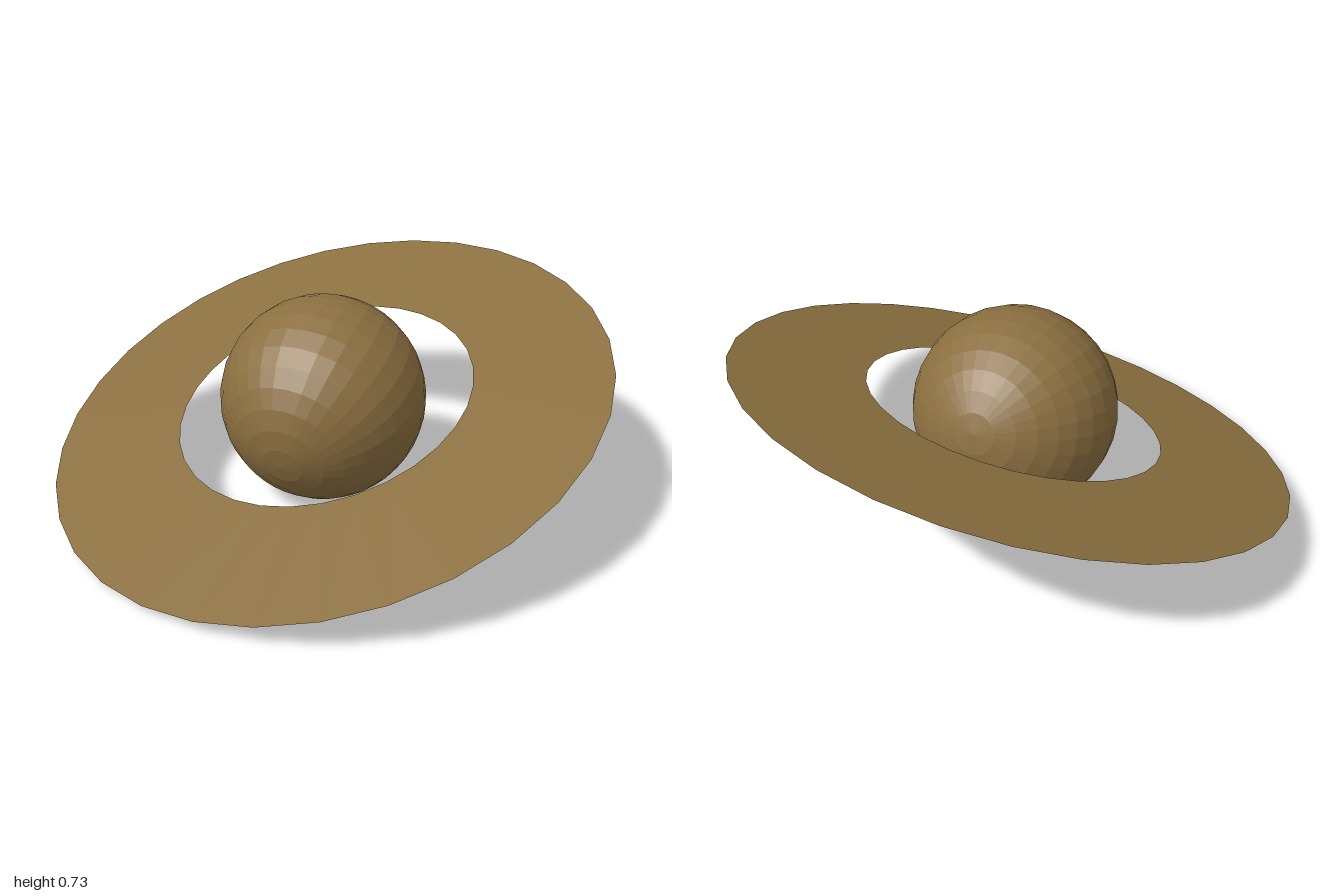
import * as THREE from 'three';

export function createModel() {
  const sand = new THREE.MeshStandardMaterial({ color: 0x8b6f40, side: THREE.DoubleSide, flatShading: true });
  sand.name = 'sandy brown';

  const model = new THREE.Group();
  model.name = 'ringedPlanet';

  // Tilted group: the globe and its ring share one inclination
  const tilted = new THREE.Group();
  tilted.name = 'tiltedBody';
  tilted.position.y = 0.367;
  tilted.rotation.set(-1.25, -0.142, 0);
  model.add(tilted);

  // Faceted globe
  const globe = new THREE.Mesh(new THREE.SphereGeometry(0.367, 32, 16), sand);
  globe.name = 'globe';
  tilted.add(globe);

  // Flat ring, seen from both sides
  const ring = new THREE.Mesh(new THREE.RingGeometry(0.54, 1.01, 32), sand);
  ring.name = 'ring';
  tilted.add(ring);

  return model;
}
